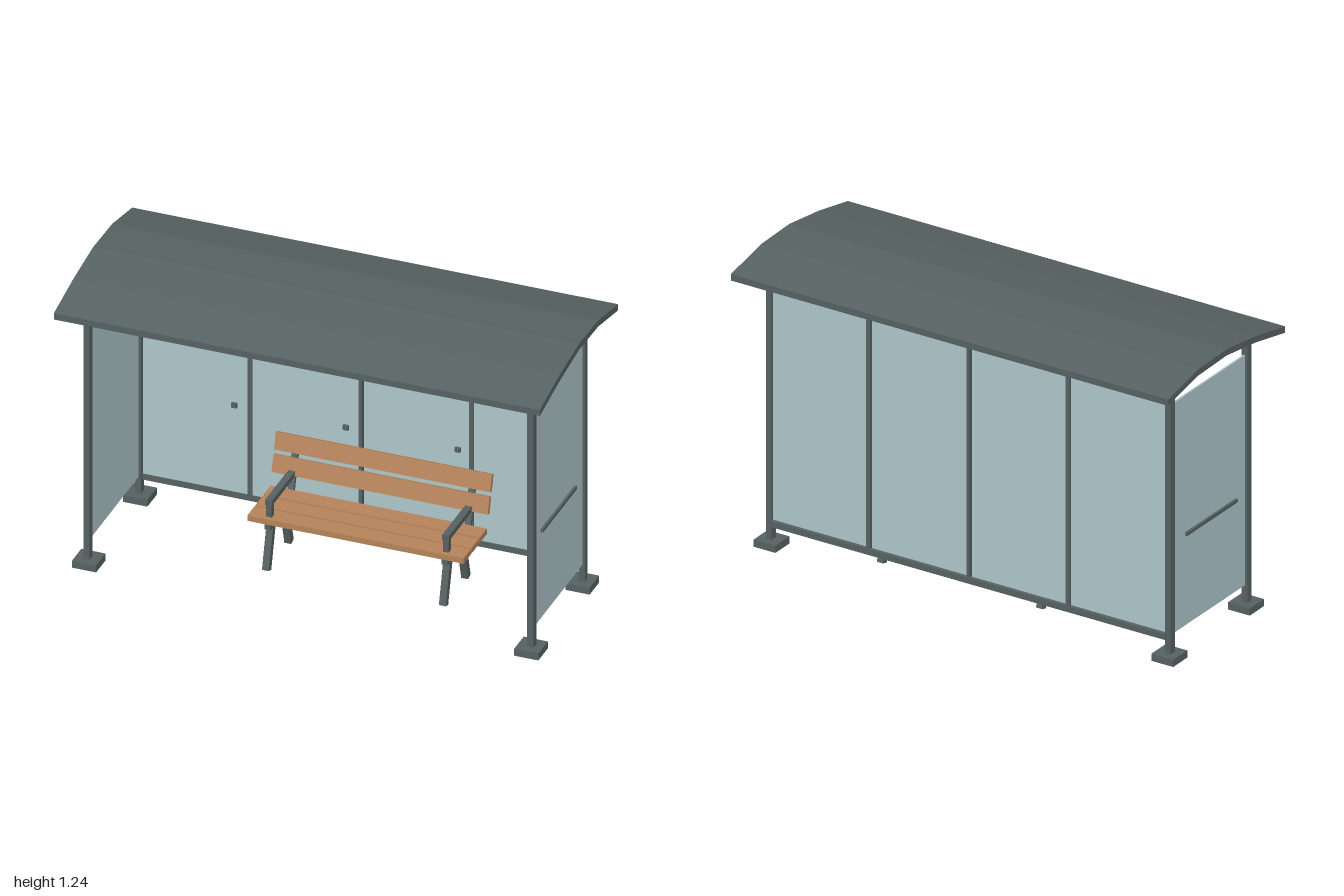
import * as THREE from 'three';

export function createModel() {
  const root = new THREE.Group();
  const mat = (name, color, side = THREE.FrontSide) => {
    const m = new THREE.MeshStandardMaterial({ color, side });
    m.name = name;
    return m;
  };
  const metal = mat('dark metal', 0x566161);
  const glass = mat('pale glass', 0xadc6ca);
  const wood = mat('warm wood', 0xb5835a);

  const group = (name) => {
    const g = new THREE.Group();
    g.name = name;
    root.add(g);
    return g;
  };
  // Box given by its size and centre
  const box = (parent, name, m, [w, h, d], [x, y, z]) => {
    const mesh = new THREE.Mesh(new THREE.BoxGeometry(w, h, d), m);
    mesh.name = name;
    mesh.position.set(x, y, z);
    parent.add(mesh);
    return mesh;
  };
  // Bar running between two [y, z] points at a fixed x
  const bar = (parent, name, x, [y0, z0], [y1, z1], w, d) => {
    const len = Math.hypot(y1 - y0, z1 - z0);
    const mesh = box(parent, name, metal, [w, len, d], [x, (y0 + y1) / 2, (z0 + z1) / 2]);
    mesh.rotation.x = Math.atan2(z1 - z0, y1 - y0);
    return mesh;
  };

  // Curved roof: faceted arch swept along x
  const arch = [[-0.41, 1.19], [-0.2, 1.232], [0, 1.237], [0.2, 1.21], [0.41, 1.167]];
  const section = [...arch.map(([z, y]) => [z, y - 0.027]), ...arch.reverse()];
  const roofShape = new THREE.Shape(section.map(([z, y]) => new THREE.Vector2(z, y)));
  const roofGeo = new THREE.ExtrudeGeometry(roofShape, { depth: 2, bevelEnabled: false });
  roofGeo.rotateY(-Math.PI / 2).translate(1, 0, 0);
  const roof = new THREE.Mesh(roofGeo, metal);
  roof.name = 'roof';
  root.add(roof);
  box(root, 'roofBatten', wood, [0.6, 0.014, 0.034], [0, 1.203, -0.02]);

  // Posts, feet and side walls
  const frame = group('frame');
  const sides = group('sideWalls');
  for (const s of [-1, 1]) {
    for (const z of [0.273, -0.263]) {
      box(frame, 'post', metal, [0.026, 1.15, 0.03], [s * 0.913, 0.575, z]);
      box(frame, 'foot', metal, [0.1, 0.03, 0.1], [s * 0.91, 0.015, z]);
    }
    box(sides, 'sideGlass', glass, [0.008, 0.98, 0.5], [s * 0.913, 0.595, 0.005]);
    box(sides, 'sideBar', metal, [0.012, 0.014, 0.355], [s * 0.921, 0.495, 0.013]);
  }

  // Back wall: rails, four panes, mullions and small clips
  const back = group('backWall');
  for (const y of [0.101, 1.109]) {
    box(back, 'rail', metal, [1.81, 0.025, 0.028], [0, y, -0.271]);
  }
  for (const x of [-0.68, -0.23, 0.23, 0.68]) {
    box(back, 'backGlass', glass, [0.436, 0.99, 0.008], [x, 0.605, -0.265]);
  }
  for (const [x, w] of [[-0.456, 0.018], [0, 0.012], [0.456, 0.018]]) {
    box(back, 'mullion', metal, [w, 0.99, 0.024], [x, 0.605, -0.269]);
  }
  for (const x of [-0.52, -0.06, 0.4, 0.86]) {
    box(back, 'clip', metal, [0.022, 0.02, 0.012], [x, 0.5, -0.256]);
  }

  // Bench: wooden slats
  const bench = group('bench');
  const cx = 0.106;
  for (const z of [0.028, -0.056, -0.14]) {
    box(bench, 'seatSlat', wood, [0.89, 0.024, 0.076], [cx, 0.213, z]);
  }
  const tilt = -0.28;
  for (const [y, z] of [[0.312, -0.205], [0.398, -0.23]]) {
    box(bench, 'backSlat', wood, [0.89, 0.07, 0.018], [cx, y, z]).rotation.x = tilt;
  }
  // Bench: metal supports at both ends
  for (const x of [cx - 0.364, cx + 0.364]) {
    bar(bench, 'frontLeg', x, [0.004, 0.07], [0.2, 0.018], 0.028, 0.028);
    bar(bench, 'backLeg', x, [0.004, -0.164], [0.2, -0.112], 0.028, 0.028);
    box(bench, 'seatBearer', metal, [0.026, 0.026, 0.24], [x, 0.188, -0.06]);
    bar(bench, 'backSupport', x, [0.185, -0.176], [0.41, -0.246], 0.026, 0.014);
    box(bench, 'armPost', metal, [0.024, 0.08, 0.024], [x, 0.25, 0.035]);
    box(bench, 'armrest', metal, [0.028, 0.022, 0.25], [x, 0.289, -0.075]);
  }
  return root;
}
